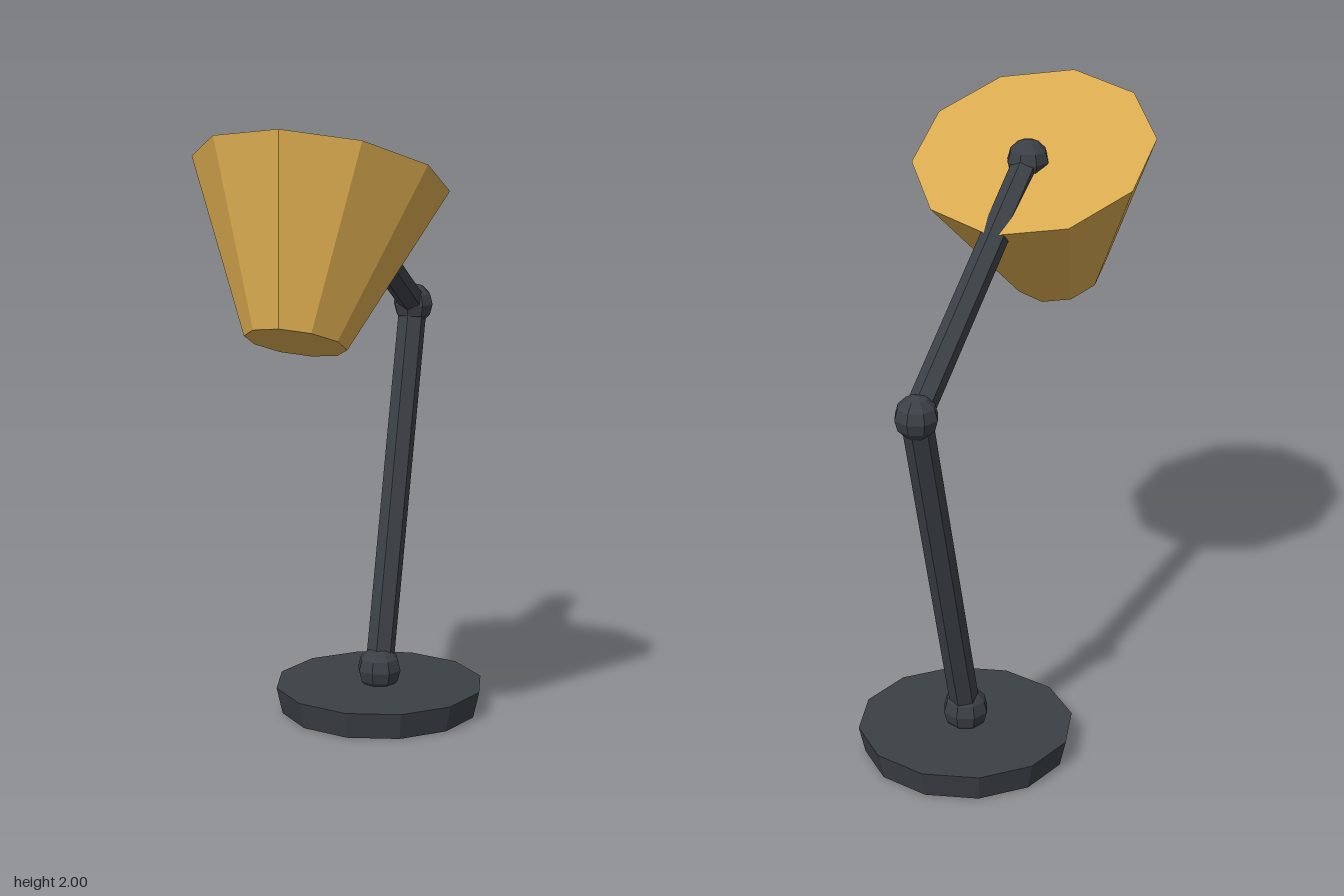
import * as THREE from 'three';

export function createModel() {
  const group = new THREE.Group();
  group.name = 'deskLamp';

  const darkMetal = new THREE.MeshStandardMaterial({ color: 0x3b4046, flatShading: true });
  darkMetal.name = 'dark metal';
  const ochre = new THREE.MeshStandardMaterial({ color: 0xd8a94f, flatShading: true });
  ochre.name = 'ochre shade';

  const add = (name, geometry, material, position) => {
    const mesh = new THREE.Mesh(geometry, material);
    mesh.name = name;
    mesh.position.copy(position);
    group.add(mesh);
    return mesh;
  };

  // Pivot points of the arm
  const foot = new THREE.Vector3(0, 0.135, -0.25);
  const elbow = new THREE.Vector3(0, 1.305, -0.6);
  const tip = new THREE.Vector3(0, 1.82, 0.263);

  // Six-sided rod between two pivots
  const addRod = (name, from, to, radius) => {
    const dir = to.clone().sub(from);
    const rod = add(name, new THREE.CylinderGeometry(radius, radius, dir.length(), 6),
      darkMetal, from.clone().add(to).multiplyScalar(0.5));
    rod.quaternion.setFromUnitVectors(new THREE.Vector3(0, 1, 0), dir.normalize());
  };
  const addJoint = (name, position, radius) =>
    add(name, new THREE.SphereGeometry(radius, 8, 6), darkMetal, position);

  // Base disc, slightly narrower at the floor
  add('base', new THREE.CylinderGeometry(0.345, 0.325, 0.088, 12), darkMetal,
    new THREE.Vector3(0, 0.044, -0.25));

  // Arm and joints
  addRod('lowerArm', foot, elbow, 0.047);
  addRod('upperArm', elbow, tip, 0.044);
  addJoint('footJoint', foot, 0.074);
  addJoint('elbowJoint', elbow, 0.068);
  addJoint('tipJoint', tip, 0.068);

  // Tilted closed shade, wide end up
  const shade = add('shade', new THREE.CylinderGeometry(0.387, 0.153, 0.522, 10), ochre,
    new THREE.Vector3(0, 1.601, 0.42));
  shade.rotation.x = -THREE.MathUtils.degToRad(25);

  return group;
}
